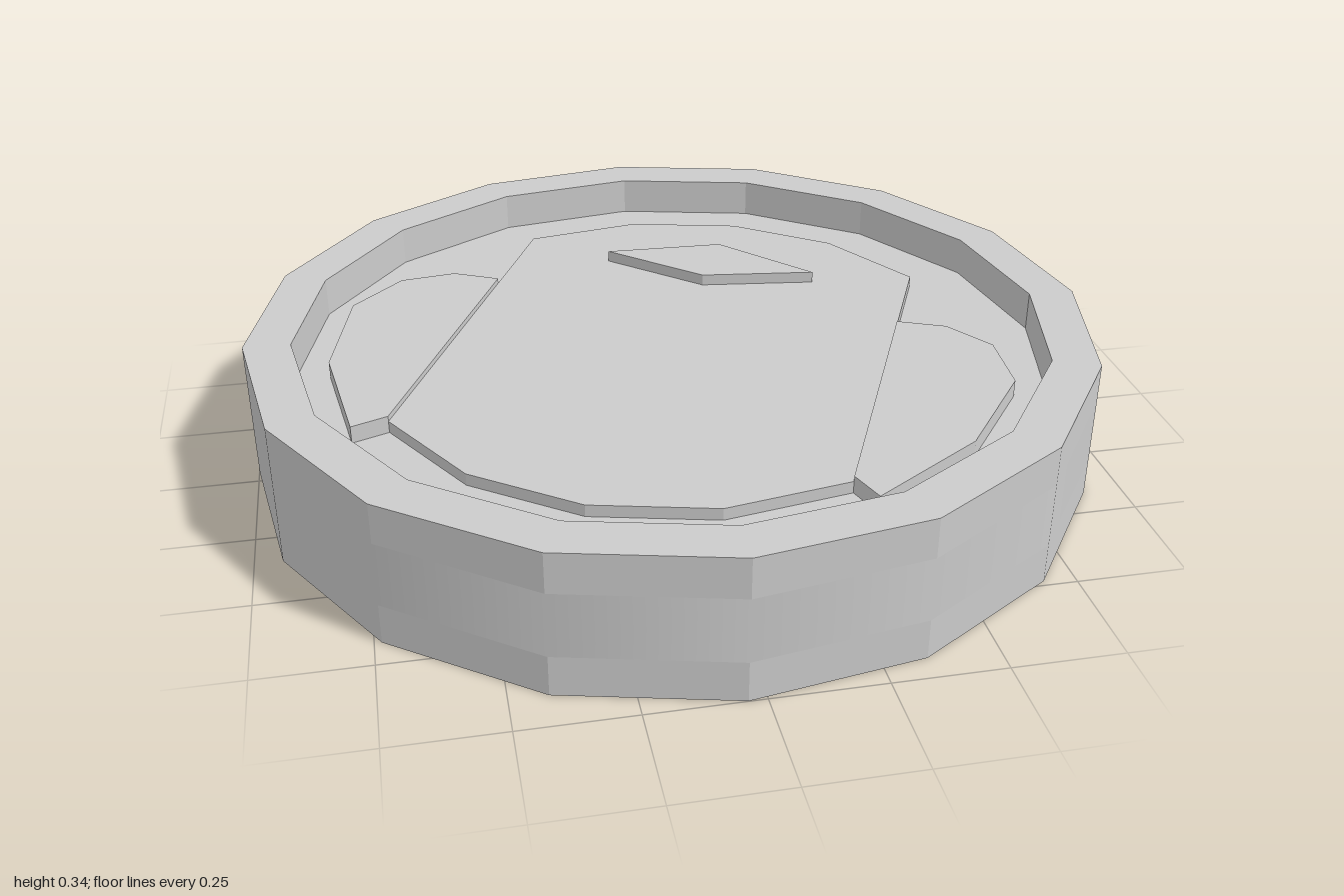
import * as THREE from 'three';

const HEIGHT = 0.338;
const FLOOR = 0.244; // height of the recessed face
const SIDES = 16;

const material = new THREE.MeshStandardMaterial({ color: 0xcccccc });

// Points are [x, z] pairs seen from above
const toPoints = (pairs) => pairs.map(([x, z]) => new THREE.Vector2(x, -z));
const mirrorX = (pairs) => pairs.map(([x, z]) => [-x, z]);

function ring(radius) {
  return Array.from({ length: SIDES }, (_, i) => {
    const a = (i / SIDES) * Math.PI * 2;
    return [radius * Math.cos(a), radius * Math.sin(a)];
  });
}

// Flat slab between two heights, with an optional hole
function slab(name, outline, bottom, top, hole) {
  const shape = new THREE.Shape(toPoints(outline));
  if (hole) shape.holes.push(new THREE.Path(toPoints(hole).reverse()));
  const geometry = new THREE.ExtrudeGeometry(shape, { depth: top - bottom, bevelEnabled: false });
  geometry.rotateX(-Math.PI / 2).translate(0, bottom, 0);
  const mesh = new THREE.Mesh(geometry, material);
  mesh.name = name;
  return mesh;
}

// Outlines are laid out along the emblem's own axis
const EMBLEM_HALF = [
  [0, -0.73], [0.275, -0.676], [0.515, -0.512],
  [0.515, 0.512], [0.275, 0.676], [0, 0.73],
];
const EMBLEM = [...EMBLEM_HALF, ...mirrorX(EMBLEM_HALF.slice(1, -1)).reverse()];
const DIAMOND = [[-0.275, -0.42], [0, -0.536], [0.272, -0.42], [0, -0.335]];

// The side panels share their outer edge but start differently on each face
const PANEL_END = [[0.747, 0.31], [0.577, 0.575], [0.515, 0.512]];
const TOP_PANEL = [[0.515, -0.22], [0.635, -0.223], [0.752, -0.15], [0.814, 0.017], ...PANEL_END];
const BOTTOM_PANEL = [[0.515, -0.15], [0.64, -0.153], [0.82, -0.016], ...PANEL_END];

// Rim and relief of one face; place turns a height above the floor into a range
function addFace(group, face, panel, panelTop, place) {
  const add = (part, outline, top, hole) =>
    group.add(slab(face + part, outline, ...place(top), hole));
  add('Rim', ring(1), HEIGHT, ring(0.89));
  add('Emblem', EMBLEM, 0.272);
  add('LeftPanel', panel, panelTop);
  add('RightPanel', mirrorX(panel), panelTop);
  add('Diamond', DIAMOND, 0.3);
}

export function createModel() {
  const group = new THREE.Group();
  group.name = 'token';
  const disc = new THREE.Group();
  disc.name = 'disc';
  disc.rotation.y = THREE.MathUtils.degToRad(-24.75);
  group.add(disc);

  // Core disc: smooth side band, its caps are the recessed faces
  const core = new THREE.Mesh(
    new THREE.CylinderGeometry(1, 1, 2 * FLOOR - HEIGHT, SIDES),
    material,
  );
  core.name = 'coreDisc';
  core.position.y = HEIGHT / 2;
  disc.add(core);

  addFace(disc, 'top', TOP_PANEL, 0.285, (top) => [FLOOR, top]);
  addFace(disc, 'bottom', BOTTOM_PANEL, 0.271, (top) => [HEIGHT - top, HEIGHT - FLOOR]);
  return group;
}
